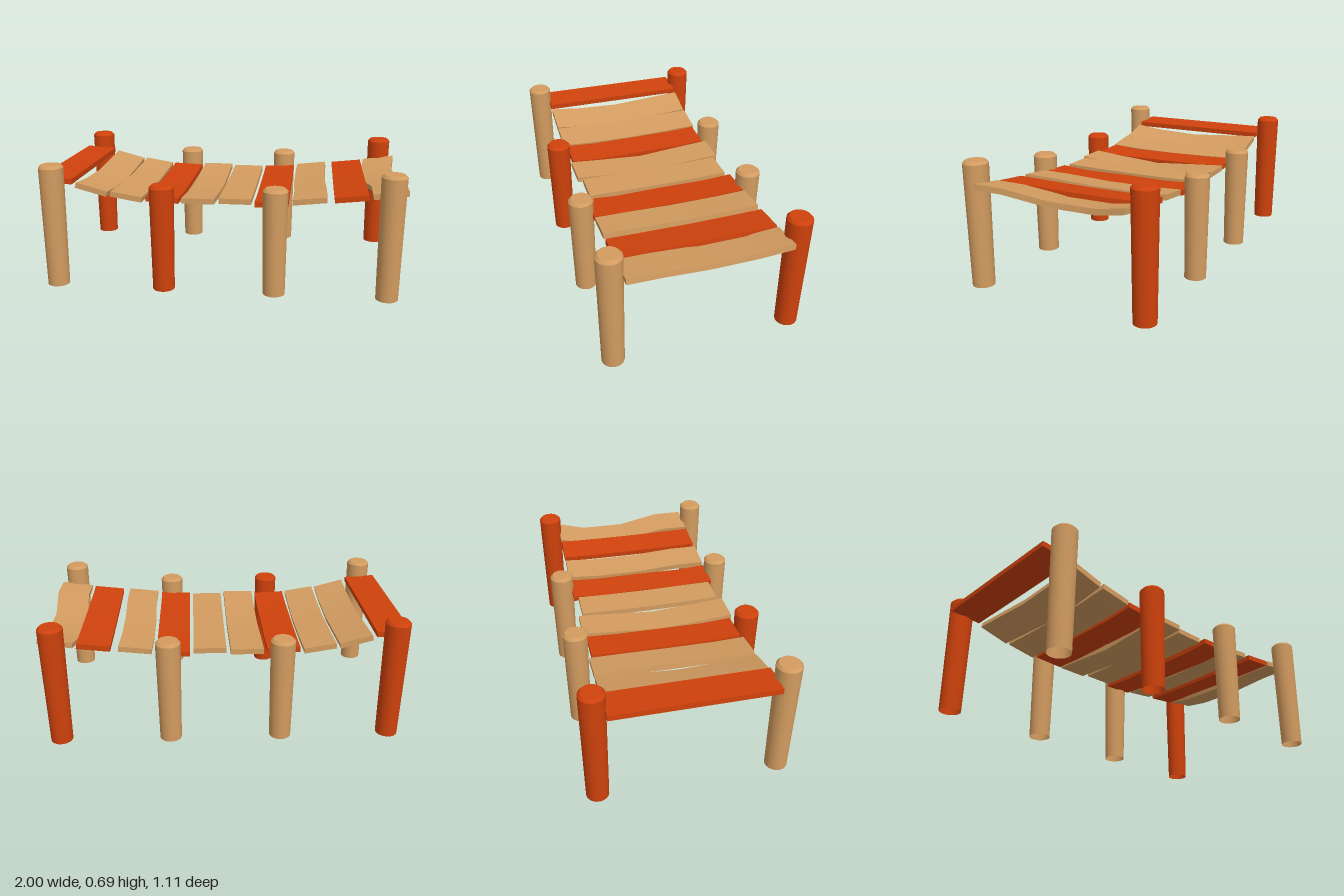
import * as THREE from 'three';
import { toCreasedNormals } from 'three/addons/utils/BufferGeometryUtils.js';

const wood = new THREE.MeshStandardMaterial({ color: 0xd39c60, side: THREE.DoubleSide });
const red = new THREE.MeshStandardMaterial({ color: 0xcf420c, side: THREE.DoubleSide });

// Round post, slightly wider at the top, chamfered rim, open underneath
function makePost(height) {
  const profile = [
    [0.06, 0], [0.0675, height - 0.015], [0.054, height], [0, height],
  ].map(([r, y]) => new THREE.Vector2(r, y));
  return toCreasedNormals(new THREE.LatheGeometry(profile, 24), 0.5);
}

// Plank running along z: tilted from left to right, bent by offsets at five stations
function makePlank({ x0, x1, y0, y1, half = 0.43, sag, shift = [0, 0, 0, 0, 0] }) {
  const thick = 0.03;
  const geo = new THREE.BoxGeometry(1, thick, 2, 1, 1, 4);
  const pos = geo.attributes.position;
  const stations = [-1, -0.6, 0, 0.6, 1];
  for (let i = 0; i < pos.count; i++) {
    const k = Math.round((pos.getZ(i) + 1) * 2);
    const t = pos.getX(i) + 0.5;
    const slope = (y1 - y0) / (x1 - x0);
    pos.setXYZ(
      i,
      x0 + (x1 - x0) * t + shift[k] - slope * pos.getY(i),
      y0 + (y1 - y0) * t - thick / 2 + pos.getY(i) + sag[k],
      stations[k] * half
    );
  }
  geo.computeVertexNormals();
  return geo;
}

export function createModel() {
  const group = new THREE.Group();
  const add = (name, geo, mat) => {
    const mesh = new THREE.Mesh(geo, mat);
    mesh.name = name;
    group.add(mesh);
    return mesh;
  };

  // Posts: two rows, taller at the ends
  const postX = [-0.91, -0.305, 0.305, 0.91];
  const rows = [
    { name: 'frontPost', z: 0.485, mats: [wood, red, wood, wood] },
    { name: 'backPost', z: -0.485, mats: [red, wood, wood, red] },
  ];
  for (const row of rows) {
    postX.forEach((x, i) => {
      const height = i === 0 || i === 3 ? 0.685 : 0.592;
      add(row.name + (i + 1), makePost(height), row.mats[i]).position.set(x, 0, row.z);
    });
  }

  // Planks from right to left; sag and shift are listed from back to front
  const flat = [0, 0, 0, 0, 0];
  const planks = [
    { x0: -1, x1: -0.82, y0: 0.602, y1: 0.592, sag: flat, mat: red },
    { x0: -0.8, x1: -0.625, y0: 0.574, y1: 0.528, sag: [0, -0.012, -0.03, -0.02, 0] },
    { x0: -0.605, x1: -0.43, y0: 0.53, y1: 0.502, sag: [0, -0.004, -0.01, -0.008, 0], shift: [0, 0.004, 0.006, 0.002, 0] },
    { x0: -0.41, x1: -0.23, y0: 0.505, y1: 0.498, half: 0.415, sag: [0, -0.008, -0.01, -0.012, 0], mat: red },
    { x0: -0.21, x1: -0.03, y0: 0.505, y1: 0.505, sag: [0, -0.012, -0.033, -0.015, 0] },
    { x0: -0.008, x1: 0.17, y0: 0.503, y1: 0.503, half: 0.405, sag: [0, -0.004, -0.006, -0.003, 0] },
    { x0: 0.19, x1: 0.37, y0: 0.498, y1: 0.506, sag: [0, -0.01, -0.008, -0.012, 0], mat: red },
    { x0: 0.395, x1: 0.574, y0: 0.515, y1: 0.535, sag: [0, -0.01, -0.012, 0, 0], shift: [0, -0.005, -0.005, 0.003, 0] },
    { x0: 0.615, x1: 0.795, y0: 0.535, y1: 0.555, sag: [0, -0.004, -0.006, -0.003, 0], mat: red },
    { x0: 0.815, x1: 0.998, y0: 0.56, y1: 0.586, sag: [0, -0.035, -0.037, 0, 0], shift: [0, -0.025, -0.025, 0.003, 0] },
  ];
  planks.forEach((p, i) => add('plank' + (i + 1), makePlank(p), p.mat ?? wood));

  return group;
}
